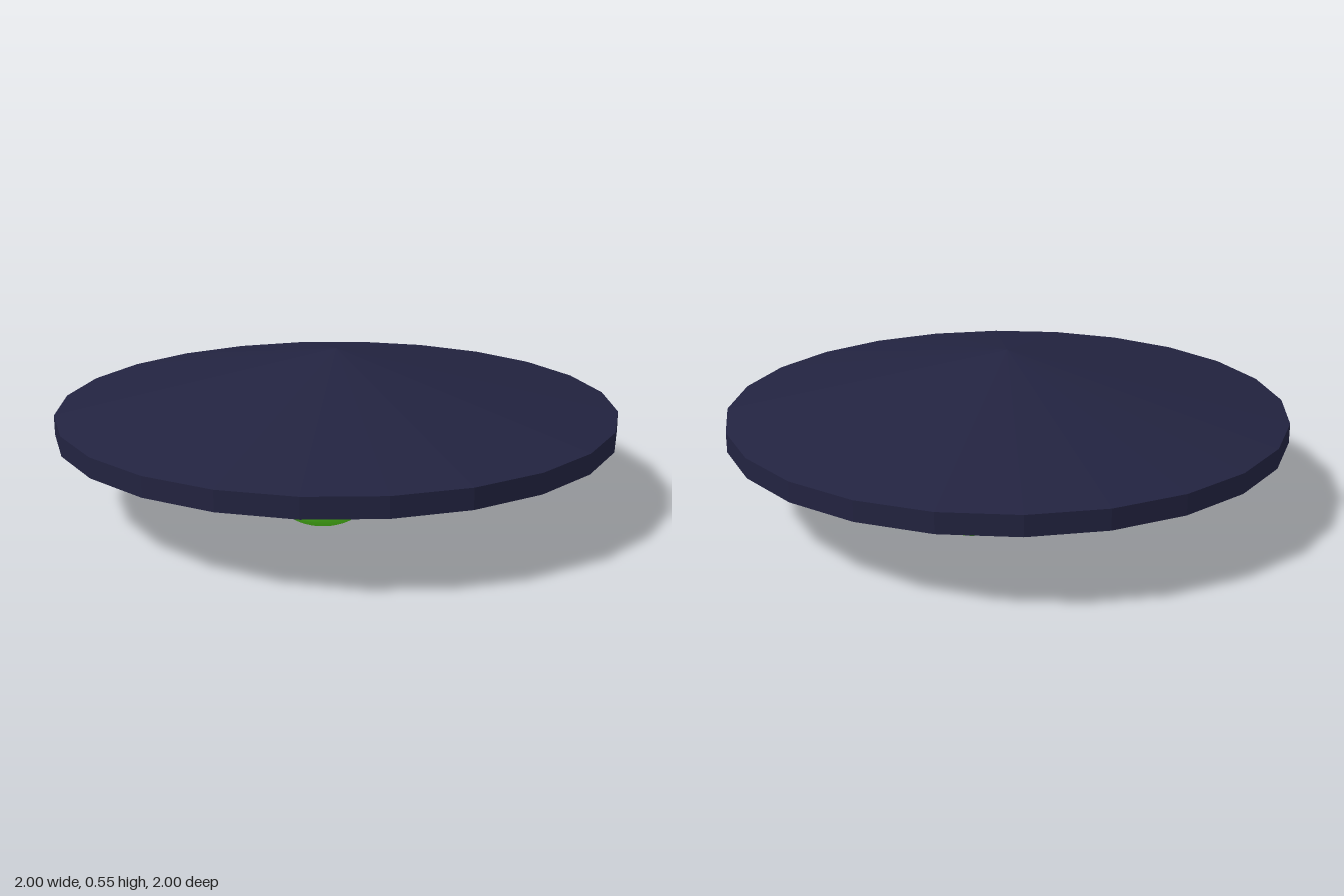
import * as THREE from 'three';

export function createModel() {
  const group = new THREE.Group();
  const hullMaterial = new THREE.MeshStandardMaterial({ color: 0x222340, flatShading: true });
  const glowMaterial = new THREE.MeshStandardMaterial({ color: 0x59d91e });

  // Faceted saucer: flat belly, sloped underside, thin rim, conical roof
  const profile = [[0, 0.115], [0.25, 0.115], [1, 0.27], [1, 0.34], [0, 0.545]]
    .map(([r, y]) => new THREE.Vector2(r, y));
  const hull = new THREE.Mesh(new THREE.LatheGeometry(profile, 24), hullMaterial);
  hull.name = 'hull';
  group.add(hull);

  // Squashed glowing spheres set into the underside
  const addLamp = (name, parent, x, y, z, radius, height) => {
    const lamp = new THREE.Mesh(new THREE.SphereGeometry(1, 32, 24), glowMaterial);
    lamp.name = name;
    lamp.scale.set(radius, height, radius);
    lamp.position.set(x, y, z);
    parent.add(lamp);
  };
  addLamp('centreLamp', group, 0, 0.132, 0, 0.26, 0.132);

  // Ring of four lamps, turned slightly off the axes
  const ring = new THREE.Group();
  ring.name = 'lampRing';
  ring.rotation.y = 0.04;
  for (let i = 0; i < 4; i++) {
    const a = (i * Math.PI) / 2;
    addLamp(`outerLamp${i + 1}`, ring, 0.64 * Math.cos(a), 0.2, 0.64 * Math.sin(a), 0.135, 0.07);
  }
  group.add(ring);

  return group;
}
